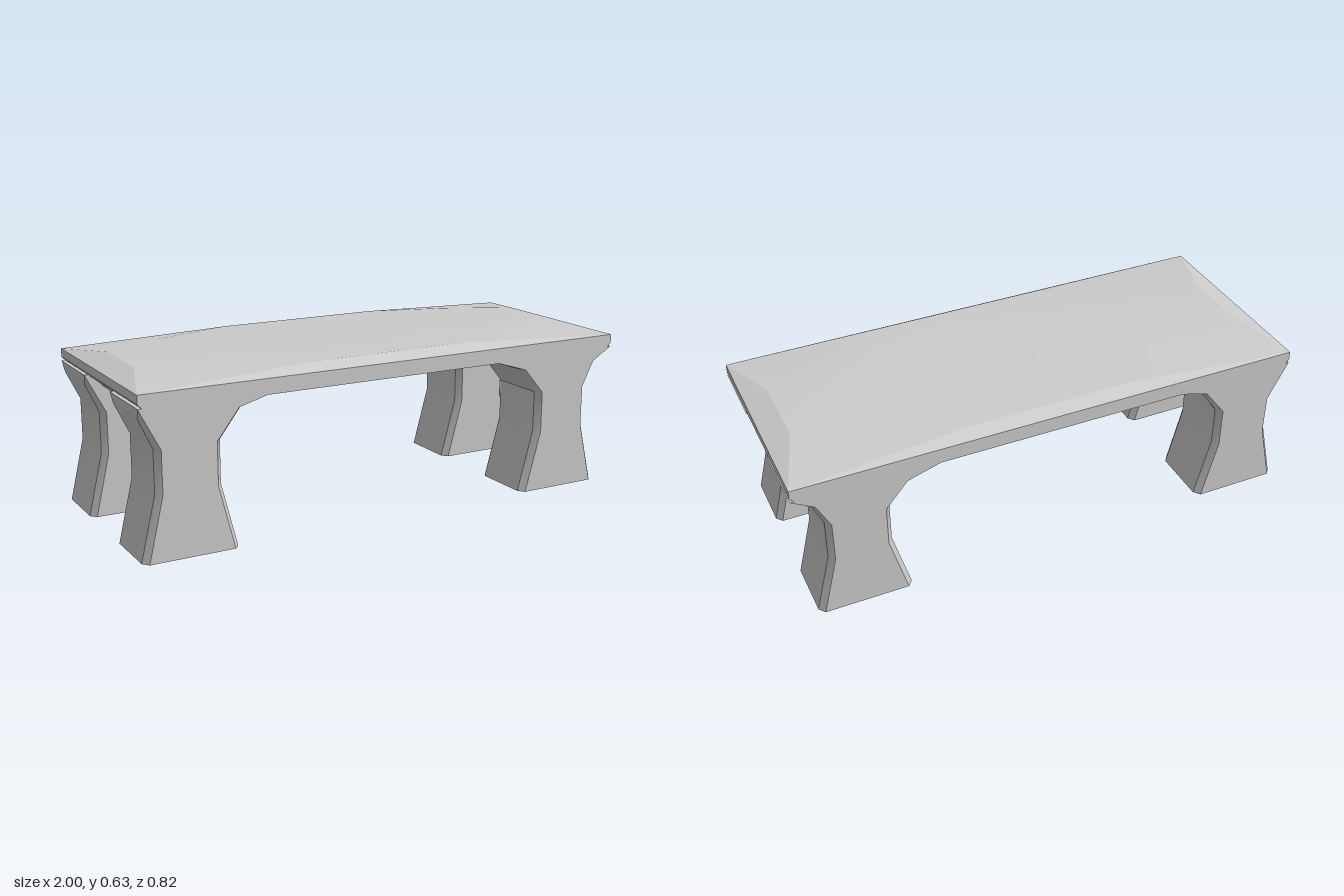
import * as THREE from 'three';
import { toCreasedNormals } from 'three/addons/utils/BufferGeometryUtils.js';

const material = new THREE.MeshStandardMaterial({ color: 0xcccccc });

// Skin a stack of rings (bottom to top, counter-clockwise seen from above) and cap both ends.
function loft(name, rings, crease) {
  const n = rings[0].length;
  const index = [];
  for (let r = 0; r < rings.length - 1; r++) {
    for (let i = 0; i < n; i++) {
      const j = (i + 1) % n;
      const a = r * n + i, b = r * n + j, c = a + n, d = b + n;
      index.push(a, b, d, a, d, c);
    }
  }
  const top = (rings.length - 1) * n;
  for (let i = 1; i < n - 1; i++) {
    index.push(0, i + 1, i, top, top + i, top + i + 1);
  }
  const geometry = new THREE.BufferGeometry();
  geometry.setAttribute('position', new THREE.Float32BufferAttribute(rings.flat(2), 3));
  geometry.setIndex(index);
  const mesh = new THREE.Mesh(toCreasedNormals(geometry, crease), material);
  mesh.name = name;
  return mesh;
}

// Rectangle with cut corners.
function chamferedRing(y, x0, x1, z0, z1, cx, cz) {
  return [
    [x1 - cx, y, z1], [x1, y, z1 - cz], [x1, y, z0 + cz], [x1 - cx, y, z0],
    [x0 + cx, y, z0], [x0, y, z0 + cz], [x0, y, z1 - cz], [x0 + cx, y, z1],
  ];
}

// Mirror one quarter (+x, +z, ordered towards the x axis) into a full ring.
function quarterRing(y, quarter) {
  const back = [...quarter].reverse();
  return [
    ...quarter.map(([x, z]) => [x, y, z]),
    ...back.map(([x, z]) => [x, y, -z]),
    ...quarter.map(([x, z]) => [-x, y, -z]),
    ...back.map(([x, z]) => [-x, y, z]),
  ];
}

// Leg outlines: y, left x, right x, corner cut.
const rightLeg = [
  [0, -1, -0.64, 0.02], [0.24, -0.943, -0.70, 0.02], [0.40, -0.943, -0.70, 0.02],
  [0.51, -0.995, -0.62, 0.015], [0.55, -1, -0.49, 0],
];
const leftLeg = [
  [0, 0.58, 0.943, 0.02], [0.24, 0.645, 0.885, 0.02], [0.40, 0.645, 0.885, 0.02],
  [0.50, 0.565, 0.93, 0.015], [0.55, 0.42, 1, 0],
];

export function createModel() {
  const bench = new THREE.Group();
  bench.name = 'bench';

  // Worn slab: vertical rim, with the top sloping down to the corners
  const corner = (x, z) => [[x, z], [x, z], [x, z]];
  bench.add(loft('seatSlab', [
    quarterRing(0.54, corner(0.975, 0.41)),
    quarterRing(0.565, corner(1, 0.41)),
    quarterRing(0.598, corner(1, 0.41)),
    quarterRing(0.627, [[0.33, 0.365], [0.65, 0.268], [0.91, 0.14]]),
  ], 0.15));

  // Four waisted legs
  for (const [side, profile] of [['Right', rightLeg], ['Left', leftLeg]]) {
    for (const [end, z0, z1] of [['front', 0.138, 0.41], ['back', -0.41, -0.138]]) {
      const rings = profile.map(([y, x0, x1, c]) => chamferedRing(y, x0, x1, z0, z1, c, c * 1.25));
      bench.add(loft(`${end}${side}Leg`, rings, 0.6));
    }
  }

  // Shallow thickening under one end of the slab, between the legs
  bench.add(loft('endApron', [
    chamferedRing(0.5, -0.93, -0.72, -0.145, 0.145, 0, 0),
    chamferedRing(0.545, -0.97, -0.5, -0.145, 0.145, 0, 0),
  ], 0.3));

  return bench;
}
